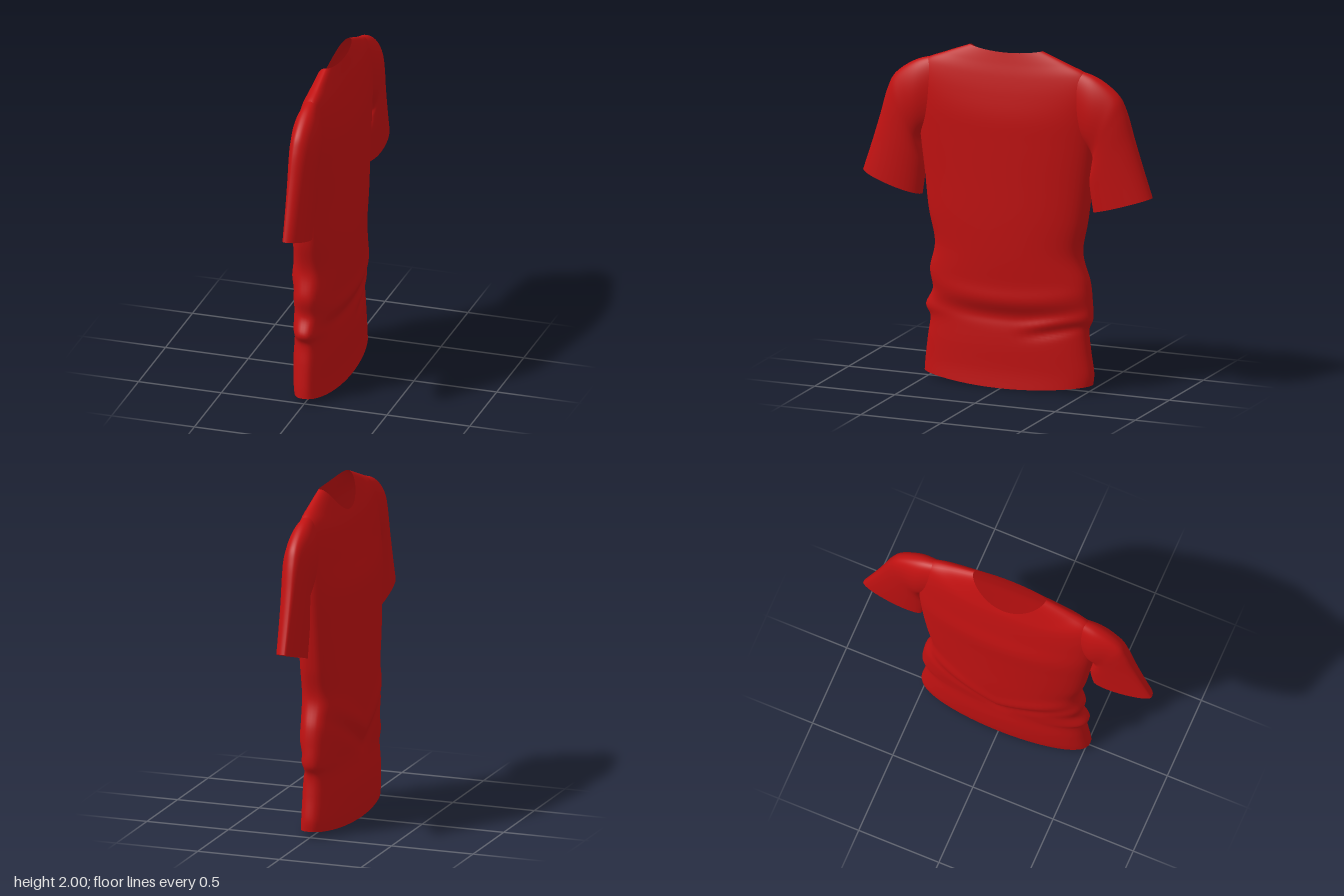
import * as THREE from 'three';

const SEG = 72;

// Catmull-Rom blend through a short table of section rows
function sampleRows(rows, t) {
  const f = t * (rows.length - 1);
  const i = Math.min(Math.floor(f), rows.length - 2);
  const u = f - i;
  const at = (k) => rows[Math.max(0, Math.min(rows.length - 1, k))];
  return rows[i].map((b, c) => {
    const a = at(i - 1)[c], d = at(i + 1)[c], e = at(i + 2)[c];
    return b + 0.5 * u * (d - a + u * (2 * a - 5 * b + 4 * d - e + u * (3 * (b - d) + e - a)));
  });
}

// Open tube of closed rings; point(row, angle) gives [x, y, z]
function loft(name, material, rows, steps, point, flip) {
  const pos = [], index = [];
  for (let j = 0; j <= steps; j++) {
    const row = sampleRows(rows, j / steps);
    for (let i = 0; i < SEG; i++) pos.push(...point(row, (i / SEG) * Math.PI * 2));
  }
  for (let j = 0; j < steps; j++) {
    for (let i = 0; i < SEG; i++) {
      const a = j * SEG + i, b = j * SEG + ((i + 1) % SEG), c = a + SEG, d = b + SEG;
      if (flip) index.push(a, c, b, b, c, d);
      else index.push(a, b, c, b, d, c);
    }
  }
  const geo = new THREE.BufferGeometry();
  geo.setAttribute('position', new THREE.Float32BufferAttribute(pos, 3));
  geo.setIndex(index);
  geo.computeVertexNormals();
  const mesh = new THREE.Mesh(geo, material);
  mesh.name = name;
  return mesh;
}

const bump = (d, width) => Math.exp(-(d * d) / (width * width));

// Soft cloth folds: offset in x for a point on the body
function folds(y, z, back) {
  if (back) {
    const crease = 0.37 - 0.22 * (z + 0.3);
    const right = THREE.MathUtils.smoothstep(-z, 0.05, 0.3);
    const roll = 0.46 + 0.25 * z * z;
    return 0.014 * right * (bump(y - crease - 0.035, 0.035) - bump(y - crease + 0.02, 0.03))
      + 0.012 * bump(y - roll - 0.06, 0.06) - 0.01 * bump(y - roll + 0.04, 0.05);
  }
  const drape = y - 0.45 - 0.55 * Math.abs(z);
  return -0.01 * bump(drape - 0.1, 0.06) + 0.01 * bump(drape, 0.05);
}

export function createModel() {
  const group = new THREE.Group();
  group.name = 'tShirt';
  const red = new THREE.MeshStandardMaterial({ color: 0xc01111, side: THREE.DoubleSide });
  red.name = 'red cloth';

  // Body: left width, right width, chest x, back x, side x, side y, chest y, back y, roundness
  const body = [
    [0.52, 0.52, -0.13, 0.13, 0.0, 0.04, 0.01, 0.0, 0.8],
    [0.515, 0.525, -0.14, 0.122, 0.0, 0.11, 0.1, 0.1, 0.8],
    [0.5, 0.505, -0.145, 0.12, 0.0, 0.24, 0.24, 0.24, 0.8],
    [0.485, 0.495, -0.14, 0.115, 0.0, 0.36, 0.36, 0.36, 0.8],
    [0.512, 0.52, -0.14, 0.115, 0.0, 0.43, 0.43, 0.43, 0.8],
    [0.468, 0.515, -0.15, 0.13, 0.0, 0.53, 0.53, 0.53, 0.8],
    [0.485, 0.5, -0.157, 0.14, 0.0, 0.65, 0.65, 0.65, 0.8],
    [0.452, 0.452, -0.157, 0.148, 0.0, 0.81, 0.81, 0.81, 0.75],
    [0.49, 0.485, -0.152, 0.152, 0.0, 1.0, 1.0, 1.0, 0.75],
    [0.515, 0.515, -0.148, 0.152, 0.0, 1.22, 1.22, 1.22, 0.75],
    [0.54, 0.54, -0.145, 0.152, 0.01, 1.45, 1.42, 1.45, 0.75],
    [0.55, 0.55, -0.118, 0.15, 0.02, 1.65, 1.57, 1.6, 0.75],
    [0.55, 0.55, -0.1, 0.135, 0.03, 1.79, 1.68, 1.73, 0.8],
    [0.5, 0.5, -0.085, 0.115, 0.035, 1.885, 1.76, 1.84, 0.85],
    [0.38, 0.38, -0.072, 0.095, 0.04, 1.94, 1.81, 1.92, 0.95],
    [0.225, 0.225, -0.06, 0.08, 0.04, 2.0, 1.84, 1.98, 1],
  ];
  group.add(loft('body', red, body, 120, ([wl, wr, chest, back, side, ySide, yChest, yBack, p], a) => {
    const s = Math.sin(a), c = Math.cos(a), isBack = s > 0;
    const z = c * (c > 0 ? wl : wr);
    const y = ySide + ((isBack ? yBack : yChest) - ySide) * s * s;
    const x = side + ((isBack ? back : chest) - side) * Math.abs(s) ** p;
    return [x + folds(y, z, isBack) * Math.abs(s), y, z];
  }));

  // Sleeves: outer z, outer y, inner z, inner y, chest x, back x, edge x
  const sleeve = [
    [0.38, 1.92, 0.4, 1.52, -0.03, 0.08, 0.035],
    [0.55, 1.878, 0.51, 1.46, -0.055, 0.115, 0.03],
    [0.685, 1.79, 0.54, 1.4, -0.045, 0.115, 0.025],
    [0.742, 1.69, 0.53, 1.34, -0.04, 0.112, 0.02],
    [0.79, 1.53, 0.515, 1.26, -0.035, 0.108, 0.015],
    [0.84, 1.37, 0.52, 1.18, -0.03, 0.104, 0.012],
    [0.9, 1.19, 0.535, 1.075, -0.025, 0.1, 0.01],
  ];
  for (const side of [1, -1]) {
    group.add(loft(side > 0 ? 'leftSleeve' : 'rightSleeve', red, sleeve, 48,
      ([oz, oy, iz, iy, chest, back, edge], a) => {
        const s = Math.sin(a), k = (1 + Math.cos(a)) / 2;
        const x = edge + ((s > 0 ? back : chest) - edge) * Math.abs(s) ** 0.9;
        return [x, iy + (oy - iy) * k, side * (iz + (oz - iz) * k)];
      }, side > 0));
  }
  return group;
}
